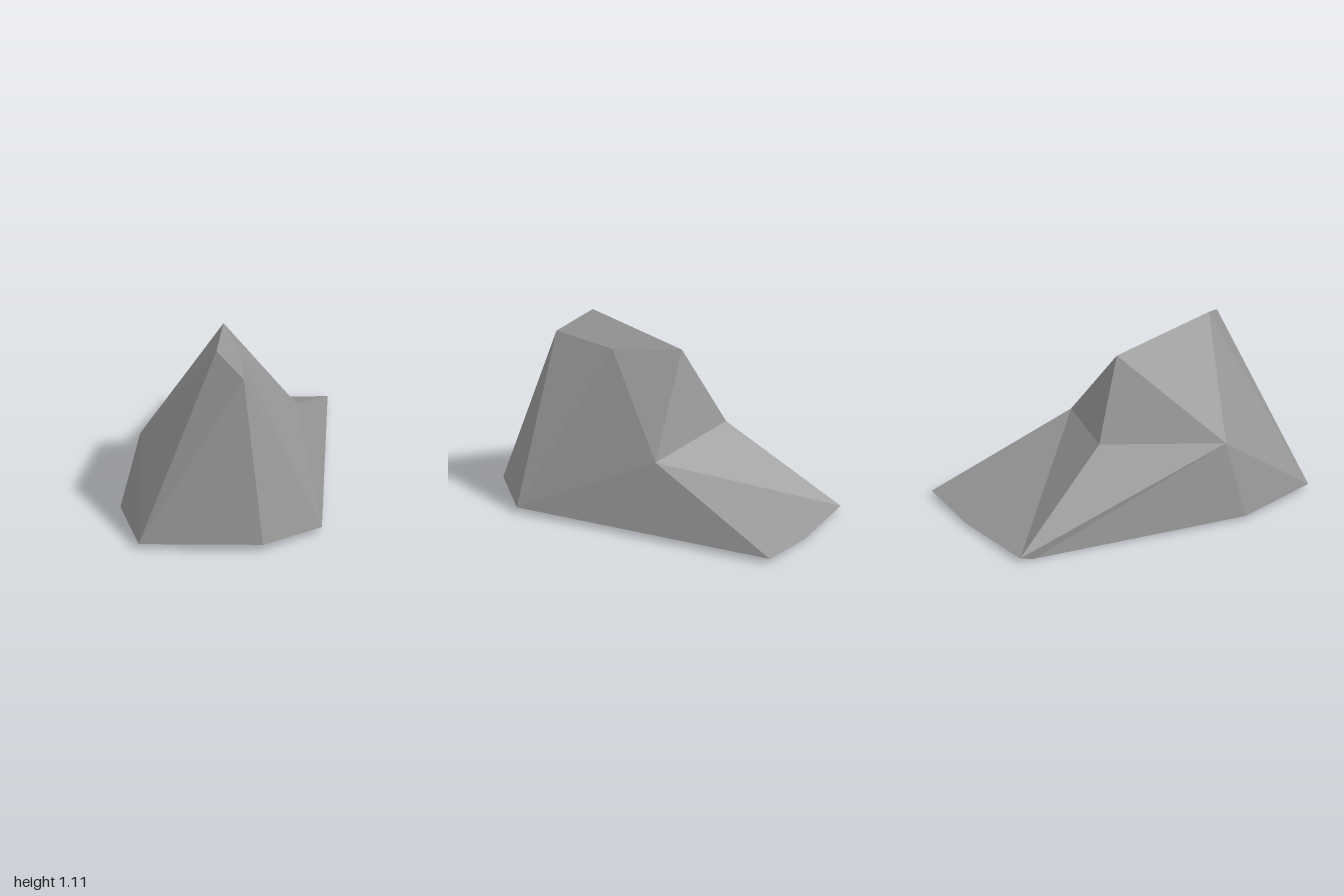
import * as THREE from 'three';

// Corners of the rock: rim around the foot, then shoulders and ridge
const corners = {
  frontRight: [-0.47, 0.03, 0.99], frontLeft: [0.27, 0.05, 1.0],
  leftFoot: [0.605, 0.03, 0.71], backLeft: [0.55, 0.03, -1.0],
  backMid: [0.14, 0.015, -1.0], backRight: [-0.4, 0.025, -0.93],
  backHeel: [-0.405, 0, -0.84], rightFoot: [-0.605, 0.02, 0.49],
  rightShoulder: [-0.49, 0.48, 0.42], peak: [-0.03, 1.11, 0.56],
  brow: [0.14, 1.0, 0.71], nape: [-0.02, 0.98, -0.06],
  dent: [0.115, 0.95, 0.34], saddle: [-0.18, 0.51, -0.27],
  leftShoulder: [0.41, 0.42, -0.13],
};

// Builds a faceted mesh from triangles of named corners
function facets(name, triangles, material) {
  const points = triangles.flatMap((t) => t.split(' ').flatMap((c) => corners[c]));
  const geometry = new THREE.BufferGeometry();
  geometry.setAttribute('position', new THREE.Float32BufferAttribute(points, 3));
  geometry.computeVertexNormals();
  const mesh = new THREE.Mesh(geometry, material);
  mesh.name = name;
  return mesh;
}

export function createModel() {
  const stone = new THREE.MeshStandardMaterial({ color: 0x969696 });
  stone.name = 'grey stone';
  const rock = new THREE.Group();
  rock.name = 'rock';

  const rim = ['frontRight', 'frontLeft', 'leftFoot', 'backLeft', 'backMid', 'backRight', 'backHeel', 'rightFoot'];
  const underside = [];
  for (let i = 1; i < rim.length - 1; i++) underside.push(`${rim[0]} ${rim[i + 1]} ${rim[i]}`);

  rock.add(
    facets('frontFace', [
      'frontRight frontLeft brow', 'frontRight brow peak', 'frontLeft leftFoot brow',
    ], stone),
    facets('rightFace', [
      'rightFoot frontRight rightShoulder', 'frontRight peak rightShoulder',
      'rightShoulder peak nape', 'rightShoulder nape saddle', 'rightShoulder saddle backRight',
      'rightShoulder backRight backHeel', 'rightShoulder backHeel rightFoot',
    ], stone),
    facets('backSlope', [
      'backRight saddle leftShoulder', 'backRight leftShoulder backMid',
      'backMid leftShoulder backLeft', 'saddle nape leftShoulder',
    ], stone),
    facets('leftFace', [
      'nape dent leftShoulder', 'brow leftFoot dent',
      'dent leftFoot leftShoulder', 'leftShoulder leftFoot backLeft',
    ], stone),
    facets('crest', ['peak brow dent', 'peak dent nape'], stone),
    facets('underside', underside, stone),
  );
  return rock;
}
